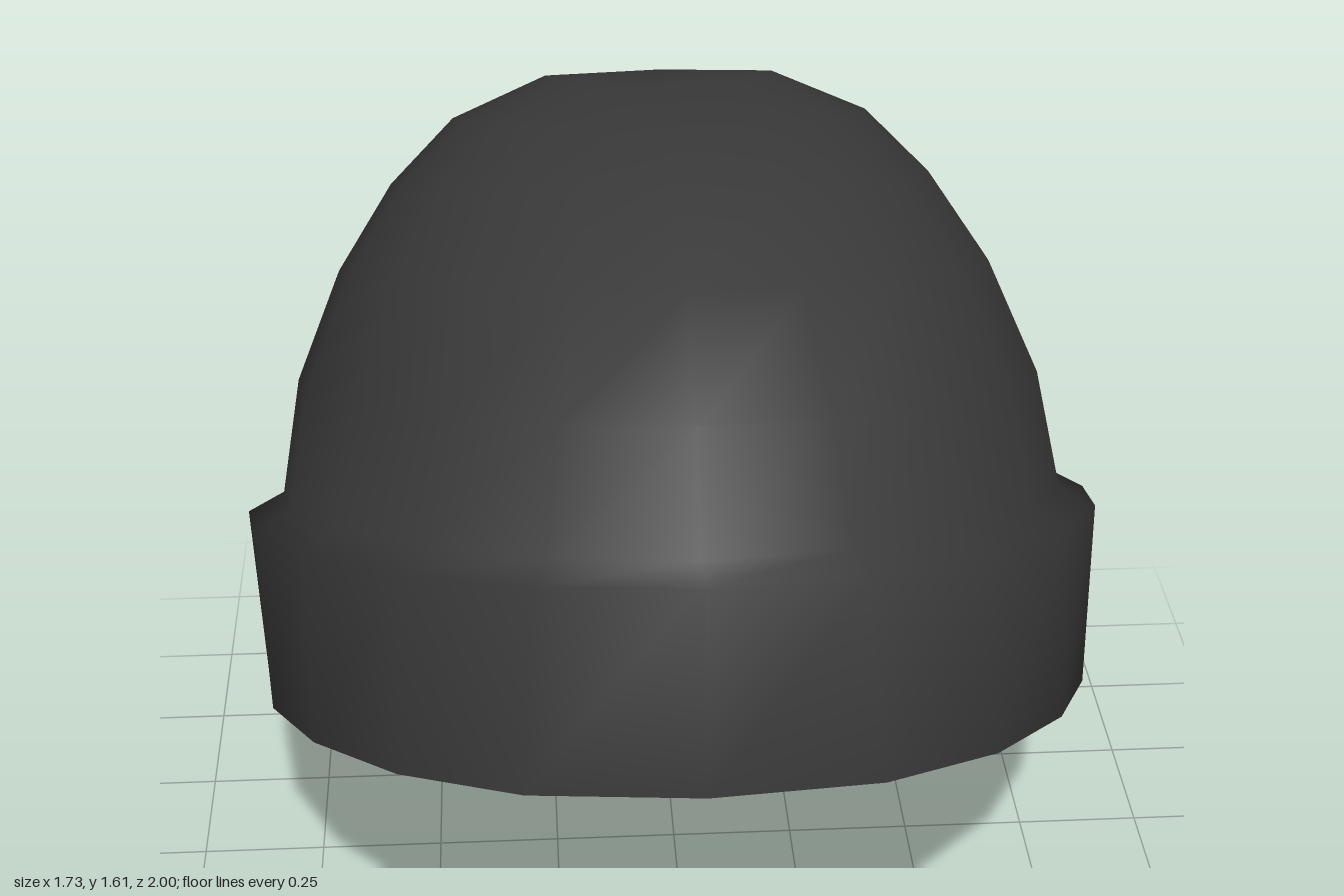
import * as THREE from 'three';

const SIDES = 20;

// Each ring: [front z, front y, back z, back y, half width, front roundness],
// where a lower roundness makes the front half squarer.
// Fold: from the opening, around the lip and up the outside of the cuff.
const cuffRings = [
  [0.78, 0.79, -0.69, 0.14, 0.615, 0.85],
  [0.93, 0.80, -0.77, 0.00, 0.74, 0.85],
  [1.00, 0.85, -0.88, 0.02, 0.84, 0.84],
  [0.90, 1.21, -1.00, 0.34, 0.865, 0.95],
  [0.84, 1.23, -0.96, 0.40, 0.79, 0.95],
];
// Crown: from the top of the cuff to the pole.
const crownRings = [
  [0.69, 1.40, -0.99, 0.65, 0.75, 1],
  [0.45, 1.53, -0.97, 0.90, 0.66, 1],
  [0.16, 1.59, -0.92, 1.11, 0.55, 1],
  [-0.06, 1.61, -0.83, 1.31, 0.42, 1.05],
  [-0.34, 1.59, -0.69, 1.45, 0.23, 1],
  [-0.51, 1.55, -0.51, 1.55, 0, 1],
];
// Lining: from the pole down to the opening.
const liningRings = [
  [-0.48, 1.48, -0.48, 1.48, 0, 1],
  [-0.31, 1.52, -0.64, 1.39, 0.21, 1],
  [-0.06, 1.54, -0.77, 1.26, 0.37, 1],
  [0.14, 1.52, -0.85, 1.08, 0.50, 1],
  [0.41, 1.46, -0.90, 0.89, 0.60, 1],
  [0.63, 1.34, -0.92, 0.65, 0.69, 1],
  [0.78, 1.19, -0.89, 0.42, 0.72, 0.95],
  [0.84, 1.04, -0.87, 0.26, 0.73, 0.9],
  cuffRings[0],
];

// Skins tilted egg-shaped rings with smooth normals; a ring of no width is a pole.
function loft(rings) {
  const positions = [];
  const index = [];
  rings.forEach(([fz, fy, bz, by, w, roundness]) => {
    for (let j = 0; j < SIDES; j++) {
      const a = (j / SIDES) * Math.PI * 2;
      const s = Math.sin(a);
      // The widest point sits a little behind the middle.
      const c = Math.cos(a + 0.14 * s);
      const x = w * Math.sign(s) * Math.abs(s) ** (Math.cos(a) > 0 ? roundness : 0.95);
      const y = (fy + by) / 2 + (c * (fy - by)) / 2 + 0.02 * s * s * Math.sign(w);
      const z = (fz + bz) / 2 + (c * (fz - bz)) / 2;
      positions.push(x, y, z);
    }
  });
  const id = (i, j) => i * SIDES + (rings[i][4] ? j % SIDES : 0);
  for (let i = 0; i < rings.length - 1; i++) {
    for (let j = 0; j < SIDES; j++) {
      const a = id(i, j), b = id(i, j + 1), c = id(i + 1, j), d = id(i + 1, j + 1);
      index.push(a, b, d, a, d, c);
    }
  }
  const geometry = new THREE.BufferGeometry();
  geometry.setAttribute('position', new THREE.Float32BufferAttribute(positions, 3));
  geometry.setIndex(index);
  geometry.computeVertexNormals();
  return geometry;
}

// Takes some of the bands of a loft, keeping its normals across the seam.
function bands(geometry, from, to) {
  const part = geometry.clone();
  const perBand = SIDES * 6;
  part.setIndex(Array.from(geometry.index.array.slice(from * perBand, to * perBand)));
  return part;
}

export function createModel() {
  const knit = new THREE.MeshStandardMaterial({ color: 0x3a3a3a });
  knit.name = 'charcoal knit';
  const inside = new THREE.MeshStandardMaterial({ color: 0x424242 });
  inside.name = 'grey lining';

  const hat = new THREE.Group();
  hat.name = 'knitHat';
  const add = (name, geometry, material) => {
    const mesh = new THREE.Mesh(geometry, material);
    mesh.name = name;
    hat.add(mesh);
  };

  const outer = loft([...cuffRings, ...crownRings]);
  const split = cuffRings.length - 1;
  add('cuff', bands(outer, 0, split), knit);
  add('crown', bands(outer, split, split + crownRings.length), knit);
  add('lining', loft(liningRings), inside);
  return hat;
}
